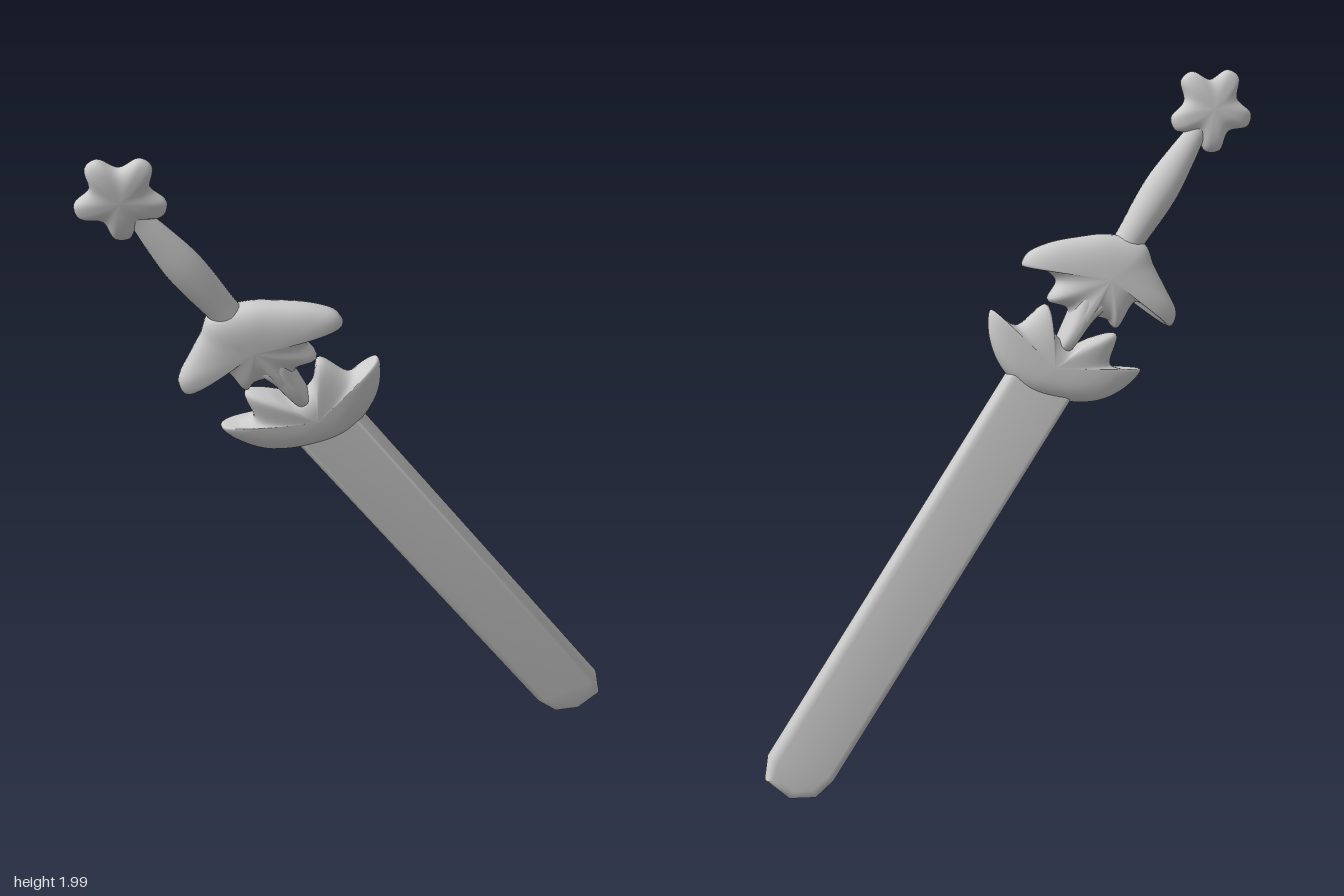
import * as THREE from 'three';
import { toCreasedNormals } from 'three/addons/utils/BufferGeometryUtils.js';

const material = new THREE.MeshStandardMaterial({ color: 0xcccccc });

function add(parent, name, geometry) {
  const mesh = new THREE.Mesh(geometry, material);
  mesh.name = name;
  parent.add(mesh);
  return mesh;
}

// Inflated slab: a counter-clockwise outline shrunk towards a centre in domed rings, front to back.
function pillow(outline, [cx, cy], halfDepth, samples = 96, rings = 16) {
  const curve = new THREE.CatmullRomCurve3(
    outline.map(([x, y]) => new THREE.Vector3(x, y, 0)), true, 'centripetal');
  const loop = curve.getPoints(samples).slice(0, samples);
  const position = [], index = [];
  for (let i = 0; i <= rings; i++) {
    const a = (i / rings) * Math.PI;
    const s = Math.pow(Math.max(Math.sin(a), 0), 0.7);
    const z = halfDepth * Math.sign(Math.cos(a)) * Math.pow(Math.abs(Math.cos(a)), 0.8);
    loop.forEach((p, j) => {
      position.push(cx + (p.x - cx) * s, cy + (p.y - cy) * s, z);
      if (i === rings) return;
      const k = (j + 1) % samples, r = i * samples, q = r + samples;
      if (i > 0) index.push(r + j, q + k, r + k);
      if (i < rings - 1) index.push(r + j, q + j, q + k);
    });
  }
  const geometry = new THREE.BufferGeometry();
  geometry.setAttribute('position', new THREE.Float32BufferAttribute(position, 3));
  geometry.setIndex(index);
  geometry.computeVertexNormals();
  return geometry;
}

export function createModel() {
  const model = new THREE.Group();
  model.name = 'sword';

  // The sword is built upright with its tip at the origin, then leaned into place.
  const sword = new THREE.Group();
  sword.name = 'leaningSword';
  const along = new THREE.Vector3(-0.601, 0.799, 0.077).normalize();
  const across = new THREE.Vector3(0.799, 0.601, 0.2);
  across.addScaledVector(along, -across.dot(along)).normalize();
  const normal = new THREE.Vector3().crossVectors(across, along);
  sword.quaternion.setFromRotationMatrix(new THREE.Matrix4().makeBasis(across, along, normal));
  sword.position.set(0.71, 0.077, -0.088);
  model.add(sword);

  // Blade: flat bar with bevelled edges and a blunt, clipped tip
  const bevel = 0.026;
  const bladeShape = new THREE.Shape([
    [-0.076, 0.06], [-0.06, 0.004], [-0.01, -0.025], [0.055, -0.015],
    [0.076, 0.03], [0.076, 1.4], [-0.076, 1.4],
  ].map(([x, y]) => new THREE.Vector2(x, y)));
  const blade = new THREE.ExtrudeGeometry(bladeShape, {
    depth: 0.02, bevelSize: bevel, bevelThickness: 0.024, bevelSegments: 4,
  });
  blade.translate(0, 0, -0.01);
  add(sword, 'blade', toCreasedNormals(blade, 0.7));

  // Lower guard: crown with two side horns and two inner points
  add(sword, 'lowerGuard', pillow([
    [-0.238, 1.545], [-0.232, 1.49], [-0.19, 1.415], [-0.118, 1.36], [0.03, 1.312],
    [0.131, 1.334], [0.21, 1.394], [0.243, 1.455], [0.2, 1.452], [0.152, 1.46],
    [0.112, 1.555], [0.05, 1.5], [-0.02, 1.49], [-0.065, 1.55], [-0.117, 1.593],
    [-0.148, 1.51], [-0.19, 1.517],
  ], [0, 1.41], 0.052));

  // Upper guard: winged collar with drooping horns
  add(sword, 'upperGuard', pillow([
    [-0.044, 1.856], [-0.1, 1.82], [-0.163, 1.786], [-0.239, 1.739], [-0.245, 1.696],
    [-0.17, 1.71], [-0.112, 1.7], [-0.106, 1.605], [-0.07, 1.612], [-0.028, 1.59],
    [-0.012, 1.46], [0.01, 1.452], [0.045, 1.575], [0.114, 1.566], [0.122, 1.625],
    [0.172, 1.634], [0.233, 1.609], [0.24, 1.645], [0.204, 1.703], [0.13, 1.772], [0.063, 1.822],
  ], [0, 1.71], 0.06, 120));

  // Fang hanging from the collar over the crown
  add(sword, 'fang', pillow([
    [-0.045, 1.68], [-0.03, 1.58], [-0.014, 1.458], [0.012, 1.452], [0.038, 1.56], [0.05, 1.68],
  ], [0.005, 1.58], 0.056, 48));

  // Grip: swollen in the middle, narrow under the pommel
  const gripProfile = new THREE.SplineCurve([
    [0.043, 1.78], [0.045, 1.86], [0.052, 1.96], [0.052, 2.04], [0.04, 2.14], [0.03, 2.21], [0.03, 2.26],
  ].map(([r, y]) => new THREE.Vector2(r, y))).getPoints(24);
  const grip = add(sword, 'grip', new THREE.LatheGeometry(gripProfile, 24));
  grip.scale.z = 0.85;

  // Pommel: blunt five-pointed star
  const star = [];
  for (let i = 0; i < 5; i++) {
    const a = Math.PI / 2 + (i * Math.PI * 2) / 5;
    for (const [offset, r] of [[-0.16, 0.123], [0.16, 0.123], [Math.PI / 5, 0.084]]) {
      star.push([r * Math.cos(a + offset), 2.288 + r * Math.sin(a + offset)]);
    }
  }
  add(sword, 'pommel', pillow(star, [0, 2.288], 0.036, 90));

  return model;
}
